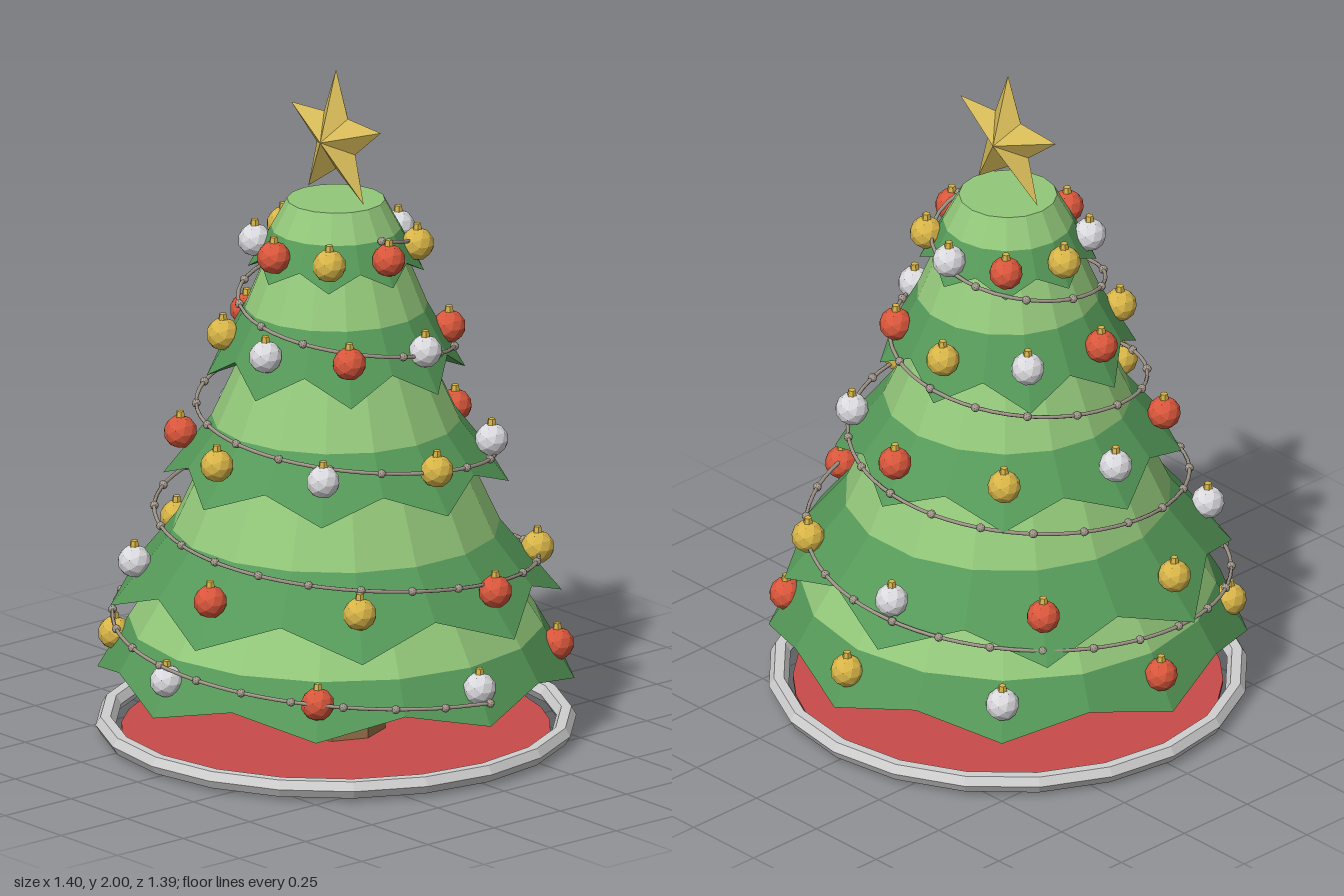
import * as THREE from 'three';

const mat = (name, color) => {
  const m = new THREE.MeshStandardMaterial({ color });
  m.name = name;
  return m;
};

// Faceted normals for any geometry
const flat = (geo) => {
  const g = geo.index ? geo.toNonIndexed() : geo;
  g.computeVertexNormals();
  return g;
};

const SIDES = 16;

// Ring of points; the profile gives [radius, y] for each column
const ring = (turn, profile) => Array.from({ length: SIDES }, (_, i) => {
  const a = turn + (i / SIDES) * Math.PI * 2;
  const [r, y] = profile(i);
  return [r * Math.cos(a), y, r * Math.sin(a)];
});

// Skin stacked rings, listed from the lowest one outward and up
function skin(...rings) {
  const pos = [];
  for (let k = 0; k < rings.length - 1; k++) {
    for (let i = 0; i < SIDES; i++) {
      const j = (i + 1) % SIDES, lo = rings[k], up = rings[k + 1];
      pos.push(...lo[i], ...up[i], ...lo[j], ...lo[j], ...up[i], ...up[j]);
    }
  }
  const g = new THREE.BufferGeometry();
  g.setAttribute('position', new THREE.Float32BufferAttribute(pos, 3));
  g.computeVertexNormals();
  return g;
}

function starGeometry(outer, inner, depth) {
  const p = Array.from({ length: 10 }, (_, i) => {
    const a = Math.PI / 2 + (i * Math.PI) / 5, r = i % 2 ? inner : outer;
    return [r * Math.cos(a), r * Math.sin(a), 0];
  });
  const pos = [];
  p.forEach((a, i) => {
    const b = p[(i + 1) % 10];
    pos.push(...a, ...b, 0, 0, depth, ...b, ...a, 0, 0, -depth);
  });
  const g = new THREE.BufferGeometry();
  g.setAttribute('position', new THREE.Float32BufferAttribute(pos, 3));
  g.computeVertexNormals();
  return g;
}

export function createModel() {
  const lightGreen = mat('light green', 0x93c87a);
  const darkGreen = mat('dark green', 0x569a59);
  const bark = mat('bark brown', 0x9c7449);
  const skirtRed = mat('skirt red', 0xc84c49);
  const trimWhite = mat('trim white', 0xcfcfcf);
  const starGold = mat('star gold', 0xd6ba58);
  const strandGrey = mat('strand grey', 0xa3988c);
  const ballMats = {
    R: mat('bauble red', 0xd9573c),
    W: mat('bauble silver', 0xdadade),
    Y: mat('bauble gold', 0xd8b548),
  };

  const tree = new THREE.Group();
  tree.name = 'decoratedTree';
  const add = (name, geo, material, parent = tree) => {
    const m = new THREE.Mesh(geo, material);
    m.name = name;
    parent.add(m);
    return m;
  };

  // Skirt, its rolled trim and the trunk
  add('skirt', flat(new THREE.CylinderGeometry(0.62, 0.62, 0.012, 32)), skirtRed).position.y = 0.009;
  const trim = add('skirtTrim', flat(new THREE.TorusGeometry(0.666, 0.029, 6, 20).rotateX(Math.PI / 2)), trimWhite);
  trim.position.y = 0.036;
  add('trunk', flat(new THREE.CylinderGeometry(0.143, 0.143, 0.4, 8)), bark).position.y = 0.2;

  // Tiers as [radius, y] pairs: hem tip, top of the dark band, top of the light cone
  const tiers = [
    { tip: [0.69, 0.18], band: [0.60, 0.337], top: [0.42, 0.62], ball: [0.64, 0.283], colors: 'WRWYRWYR' },
    { tip: [0.655, 0.405], band: [0.475, 0.627], top: [0.33, 0.94], ball: [0.585, 0.537], colors: 'RYRWYRWY' },
    { tip: [0.50, 0.77], band: [0.36, 0.95], top: [0.21, 1.28], ball: [0.45, 0.895], colors: 'YWYRWYRW' },
    { tip: [0.375, 1.09], band: [0.265, 1.29], top: [0.17, 1.52], ball: [0.328, 1.213], colors: 'WRWYRWYR' },
    { tip: [0.255, 1.40], band: [0.188, 1.525], top: [0.142, 1.61], ball: [0.235, 1.48], colors: 'RYRWYRWY' },
  ];
  const ballGeo = flat(new THREE.IcosahedronGeometry(0.049, 1));
  const capGeo = flat(new THREE.CylinderGeometry(0.011, 0.014, 0.02, 6));

  tiers.forEach(({ tip, band, top, ball, colors }, t) => {
    const tier = new THREE.Group();
    tier.name = `tier${t + 1}`;
    tree.add(tier);
    const turn = t % 2 ? -0.2 : 0;
    const valley = tip.map((v, k) => v + (band[k] - v) * 0.38);

    const hem = ring(turn, (i) => (i % 2 ? valley : tip));
    const bandRing = ring(turn, () => band);
    const under = ring(turn, () => [0, valley[1] + 0.04]);
    add('darkHem', skin(under, hem, bandRing), darkGreen, tier);
    add('lightBoughs', skin(bandRing, ring(turn, () => top), ring(turn, () => [0, top[1]])), lightGreen, tier);

    // Eight baubles, one above each hem tip
    [...colors].forEach((c, i) => {
      const a = turn + (i * Math.PI) / 4;
      const bauble = new THREE.Group();
      bauble.name = 'bauble';
      bauble.position.set(ball[0] * Math.cos(a), ball[1], ball[0] * Math.sin(a));
      add('baubleBall', ballGeo, ballMats[c], bauble);
      add('baubleCap', capGeo, ballMats.Y, bauble).position.y = 0.052;
      tier.add(bauble);
    });
  });

  // Beaded strand winding four turns down the tree
  const points = Array.from({ length: 97 }, (_, i) => {
    const s = i / 96, a = s * Math.PI * 8, r = 0.205 + 0.483 * s;
    return new THREE.Vector3(r * Math.cos(a), 1.53 - 1.28 * s, -r * Math.sin(a));
  });
  const path = new THREE.CatmullRomCurve3(points);
  path.arcLengthDivisions = 800;
  add('strand', new THREE.TubeGeometry(path, 240, 0.006, 5), strandGrey);
  const beadGeo = flat(new THREE.IcosahedronGeometry(0.013, 1));
  path.getSpacedPoints(74).forEach((p) => add('strandBead', beadGeo, strandGrey).position.copy(p));

  // Star on top
  add('star', starGeometry(0.21, 0.09, 0.06), starGold).position.y = 1.79;
  return tree;
}
